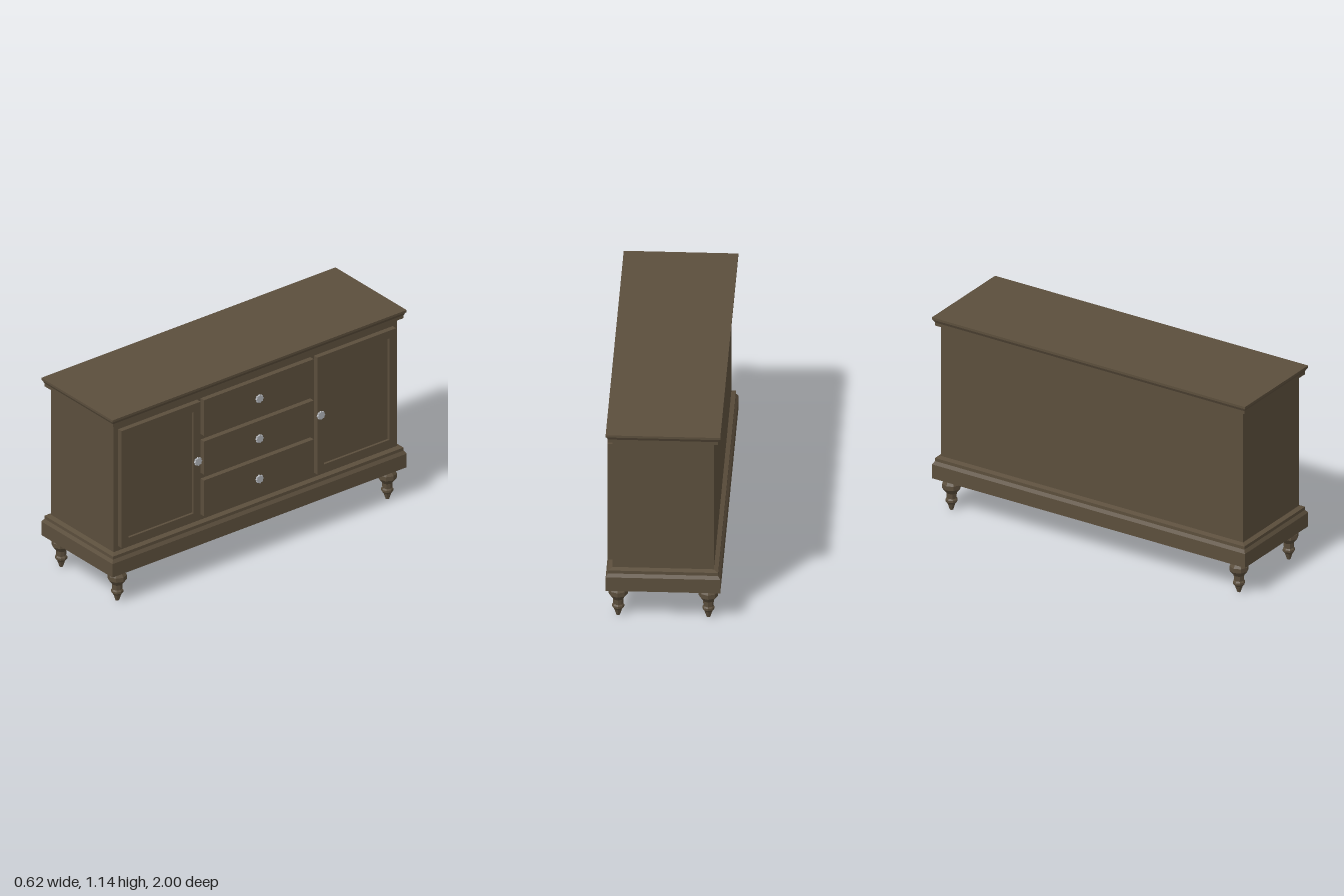
import * as THREE from 'three';

const wood = new THREE.MeshStandardMaterial({ color: 0x5b4e3c, flatShading: true });
wood.name = 'dark brown wood';
const metal = new THREE.MeshStandardMaterial({ color: 0xb0b3b8, flatShading: true });
metal.name = 'silver metal';

const CX = -0.004, HALF_X = 0.306, HALF_Z = 1; // footprint of the plinth and top
const FACE = 0.265, FRONT = 0.296;             // carcass front, door and drawer front

function add(parent, name, geometry, material, x = 0, y = 0, z = 0) {
  const mesh = new THREE.Mesh(geometry, material);
  mesh.name = name;
  mesh.position.set(x, y, z);
  parent.add(mesh);
  return mesh;
}

// Closed rectangular solid from [inset, y] rings, bottom to top
function moulded(rings) {
  const loops = rings.map(([inset, y]) => {
    const a = HALF_X - inset, b = HALF_Z - inset;
    return [[-a, y, b], [a, y, b], [a, y, -b], [-a, y, -b]];
  });
  const pos = [];
  const quad = (a, b, c, d) => pos.push(...a, ...b, ...c, ...a, ...c, ...d);
  for (let i = 0; i + 1 < loops.length; i++) {
    for (let k = 0; k < 4; k++) {
      const n = (k + 1) % 4;
      quad(loops[i][k], loops[i][n], loops[i + 1][n], loops[i + 1][k]);
    }
  }
  const low = loops[0], high = loops[loops.length - 1];
  quad(low[3], low[2], low[1], low[0]);
  quad(high[0], high[1], high[2], high[3]);
  const g = new THREE.BufferGeometry();
  g.setAttribute('position', new THREE.Float32BufferAttribute(pos, 3));
  g.computeVertexNormals();
  return g;
}

function rectangle(target, w, h) {
  target.moveTo(-w / 2, -h / 2);
  target.lineTo(w / 2, -h / 2);
  target.lineTo(w / 2, h / 2);
  target.lineTo(-w / 2, h / 2);
  target.closePath();
  return target;
}

// Extrusion turned so its depth runs along +x
function extrudeForward(shape, depth) {
  return new THREE.ExtrudeGeometry(shape, { depth, bevelEnabled: false }).rotateY(Math.PI / 2);
}

// Eight-lobed knob outline
function knobGeometry() {
  const points = [];
  for (let i = 0; i < 32; i++) {
    const a = (i / 32) * Math.PI * 2;
    const r = 0.0225 + 0.0025 * Math.cos(a * 8);
    points.push(new THREE.Vector2(r * Math.cos(a), r * Math.sin(a)));
  }
  return extrudeForward(new THREE.Shape(points), 0.012);
}

export function createModel() {
  const model = new THREE.Group();
  model.name = 'sideboard';

  // Carcass with stepped plinth and cornice
  add(model, 'plinth', moulded([[0, 0.188], [0, 0.27], [0.012, 0.288], [0.012, 0.306], [0.036, 0.315]]), wood, CX);
  add(model, 'carcass', moulded([[0.036, 0.31], [0.036, 1.085]]), wood, CX);
  add(model, 'top', moulded([[0.036, 1.08], [0.012, 1.09], [0.012, 1.108], [0.003, 1.126], [0, 1.127], [0, 1.14]]), wood, CX);

  const knob = knobGeometry();

  // Doors: a frame around a recessed panel
  const doorW = 0.536, doorH = 0.708, panelW = 0.443, panelH = 0.614;
  const frameShape = rectangle(new THREE.Shape(), doorW, doorH);
  frameShape.holes.push(rectangle(new THREE.Path(), panelW, panelH));
  const frame = extrudeForward(frameShape, FRONT - FACE + 0.003);
  const panel = new THREE.BoxGeometry(0.018, panelH, panelW);
  for (const side of [-1, 1]) {
    const door = new THREE.Group();
    door.name = side > 0 ? 'leftDoor' : 'rightDoor';
    model.add(door);
    add(door, 'doorFrame', frame, wood, FACE - 0.003, 0.696, side * 0.665);
    add(door, 'doorPanel', panel, wood, FACE + 0.009, 0.697, side * 0.664);
    add(door, 'doorKnob', knob, metal, FRONT - 0.001, 0.697, side * 0.418);
  }

  // Three drawers between the doors
  [[0.347, 0.564], [0.599, 0.8], [0.834, 1.05]].forEach(([y0, y1]) => {
    const drawer = new THREE.Group();
    drawer.name = 'drawer';
    model.add(drawer);
    const depth = FRONT - FACE + 0.003, y = (y0 + y1) / 2;
    add(drawer, 'drawerFront', new THREE.BoxGeometry(depth, y1 - y0, 0.746), wood, FRONT - depth / 2, y, 0);
    add(drawer, 'drawerKnob', knob, metal, FRONT - 0.001, y - 0.004, 0);
  });

  // Turned legs
  const profile = [[0, 0], [0.01, 0], [0.022, 0.036], [0.033, 0.05], [0.033, 0.062], [0.027, 0.07],
    [0.029, 0.1], [0.052, 0.13], [0.052, 0.155], [0.038, 0.176], [0.041, 0.19]]
    .map(([r, y]) => new THREE.Vector2(r, y));
  const leg = new THREE.LatheGeometry(profile, 8);
  for (const x of [-0.243, 0.239]) {
    for (const z of [-0.918, 0.918]) add(model, 'leg', leg, wood, x, 0, z);
  }
  return model;
}
